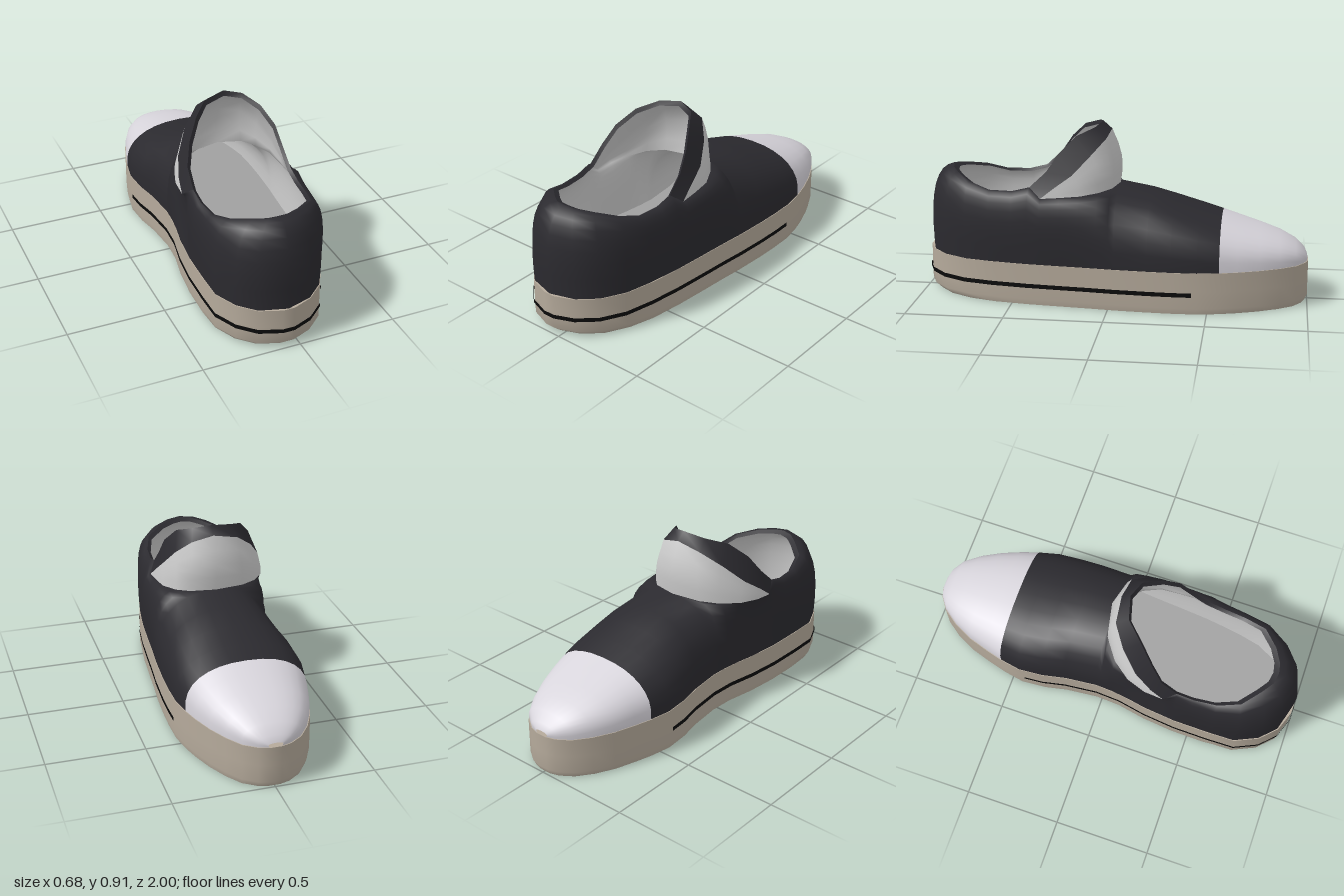
import * as THREE from 'three';
import { mergeGeometries, mergeVertices } from 'three/addons/utils/BufferGeometryUtils.js';

const V = (x, y, z) => new THREE.Vector3(x, y, z);
const SOLE_TOP = 0.215;

// Footprint stations from toe to heel: [z, edge at -x, edge at +x]
const FOOT = [
  [-1, -0.03, 0.03], [-0.985, -0.08, 0.08], [-0.94, -0.145, 0.145], [-0.86, -0.205, 0.2],
  [-0.76, -0.255, 0.25], [-0.65, -0.29, 0.29], [-0.56, -0.315, 0.315], [-0.45, -0.335, 0.335],
  [-0.32, -0.325, 0.338], [-0.2, -0.3, 0.335], [-0.03, -0.283, 0.325], [0.1, -0.29, 0.312],
  [0.25, -0.318, 0.3], [0.42, -0.335, 0.285], [0.6, -0.338, 0.26], [0.75, -0.335, 0.225],
  [0.87, -0.28, 0.16], [0.95, -0.2, 0.07], [0.99, -0.09, -0.03],
];

// Edge of the footprint at z; side is -1 or 1
function edge(z, side) {
  const c = side < 0 ? 1 : 2;
  let i = 1;
  while (i < FOOT.length - 1 && FOOT[i][0] < z) i++;
  const a = FOOT[i - 1], b = FOOT[i];
  return THREE.MathUtils.mapLinear(z, a[0], b[0], a[c], b[c]);
}

// Surface through rows of points, optionally closed around
function grid(rows, closed = false) {
  const n = rows[0].length, m = rows.length, index = [];
  for (let i = 0; i < (closed ? m : m - 1); i++) {
    for (let j = 0; j < n - 1; j++) {
      const a = i * n + j, b = ((i + 1) % m) * n + j;
      index.push(a, b, a + 1, b, b + 1, a + 1);
    }
  }
  const g = new THREE.BufferGeometry().setFromPoints(rows.flat());
  g.setIndex(index);
  return g;
}

// Join grids so that shading runs smoothly across shared edges
function join(...grids) {
  const g = mergeVertices(mergeGeometries(grids), 1e-4);
  g.computeVertexNormals();
  return g;
}

function mesh(name, geometry, color) {
  const m = new THREE.Mesh(geometry, new THREE.MeshStandardMaterial({ color, side: THREE.DoubleSide }));
  m.name = name;
  return m;
}

// Rounded wall from the sole edge b up to the top point t
function wall(b, t, bulge = 0.015, p = 0.88) {
  const out = V(b.x - t.x, 0, b.z - t.z).normalize().multiplyScalar(bulge);
  return Array.from({ length: 9 }, (_, j) => {
    const a = (j / 8) * Math.PI / 2;
    const s = 1 - Math.pow(Math.max(0, Math.cos(a)), p), h = Math.pow(Math.sin(a), p);
    return V(
      b.x + (t.x - b.x) * s, b.y + (t.y - b.y) * h, b.z + (t.z - b.z) * s,
    ).addScaledVector(out, Math.sin(2 * a));
  });
}

const foot = (z, side) => V(edge(z, side) * 0.99, SOLE_TOP, z * 0.995);

// Full arch across the shoe at z
function arch(z, crown, bulge) {
  const t = V(0, crown, z * 0.995);
  const left = wall(foot(z, -1), t, bulge), right = wall(foot(z, 1), t, bulge);
  return [...left, ...right.reverse().slice(1)];
}

// Point moved inwards by the thickness of the fabric
const inset = (p) => V(
  -0.03 + (p.x + 0.03) * 0.94,
  SOLE_TOP + (p.y - SOLE_TOP) * 0.965,
  0.3 + (p.z - 0.3) * 0.95,
);

// The +x points; the -x side mirrors them about an axis that drifts towards the heel
function place([x, y, z], k, side) {
  return V(side > 0 ? x : -0.09 * Math.min(1, k / 4) - x, y, z);
}

// Top edge of the dark side panels, from the instep to the heel
const SEAM = [
  [0, 0.59, -0.03], [0.13, 0.585, 0], [0.19, 0.575, 0.06], [0.235, 0.565, 0.15],
  [0.245, 0.557, 0.25], [0.25, 0.55, 0.35], [0.215, 0.6, 0.41], [0.212, 0.577, 0.5],
  [0.2, 0.577, 0.62], [0.165, 0.61, 0.73], [0.075, 0.635, 0.81],
];
// Lower and upper edge of the band on the tongue
const BAND_LOW = [
  [0, 0.87, 0.015], [0.11, 0.84, 0.03], [0.18, 0.765, 0.1],
  [0.228, 0.67, 0.19], [0.24, 0.605, 0.28], SEAM[5],
];
const BAND_TOP = [
  [0, 0.91, 0.06], [0.09, 0.892, 0.09], [0.15, 0.855, 0.18],
  [0.195, 0.775, 0.26], [0.21, 0.68, 0.325], SEAM[6],
];

export function createModel() {
  const shoe = new THREE.Group();
  shoe.name = 'shoe';
  const dark = 0x2b2a2f, cream = 0xb5aa9b;

  // Sole
  const outline = [
    ...FOOT.map(([z, l]) => V(l, 0, z)),
    ...FOOT.map(([z, , r]) => V(r, 0, z)).reverse(),
  ];
  const ring = (...profile) => grid(outline.map((p) => profile.map(([s, y]) => {
    const k = s === 1 || s === 0 || p.z < 0.7 ? s : s - 0.02;
    return V(p.x * k, y, p.z * k);
  })), true);
  const sole = new THREE.Group();
  sole.name = 'sole';
  sole.add(
    mesh('soleWall', join(ring([0.985, 0], [1, 0.03], [1, 0.12], [1, SOLE_TOP])), cream),
    mesh('soleBottom', join(ring([0, 0], [0.985, 0])), cream),
    mesh('soleTop', join(ring([1, SOLE_TOP], [0, SOLE_TOP])), cream),
    mesh('insole', join(ring([0.97, SOLE_TOP + 0.008], [0, SOLE_TOP + 0.008])), 0xa0a0a0),
  );
  shoe.add(sole);

  // Stripe around the heel
  const zs = [-0.42, ...FOOT.map((f) => f[0]).filter((z) => z > -0.42)];
  const path = [
    ...zs.map((z) => [edge(z, -1), z]),
    ...zs.map((z) => [edge(z, 1), z]).reverse(),
  ];
  const stripe = path.map(([x, z]) => [0.09, 0.112].map((y) => V(x * 1.009, y, z * 1.008)));
  shoe.add(mesh('soleStripe', join(grid(stripe)), 0x0a0a0a));

  // Toe cap
  const capCrown = [0.235, 0.268, 0.31, 0.35, 0.383, 0.417, 0.445];
  const cap = grid(capCrown.map((y, i) => arch(FOOT[i][0], y, 0.012)));
  shoe.add(mesh('toeCap', join(cap), 0xd8d5dc));

  // Vamp and side panels
  const vampCrown = [0.445, 0.478, 0.52, 0.558, 0.59];
  const vamp = grid(vampCrown.map((y, i) => arch(FOOT[i + 6][0], y, i ? 0.015 : 0.012)));
  const panel = (side) => SEAM.map((s, k) => {
    const z = [0.42, 0.5, 0.62, 0.75, 0.87][k - 6] ?? s[2];
    const top = place(s, k, side);
    if (k === 0) top.z *= 0.995;
    return wall(foot(z, side), top);
  });
  const heelTop = V(-0.055, 0.65, 0.86);
  const heel = [
    wall(foot(0.95, -1), V(-0.11, 0.645, 0.85)),
    wall(V(-0.06, SOLE_TOP, 0.985), heelTop),
    wall(foot(0.95, 1), V(0.0, 0.645, 0.85)),
  ];
  const sides = grid([...panel(-1), ...heel, ...panel(1).reverse()]);
  shoe.add(mesh('upper', join(vamp, sides), dark));

  // Tongue and its dark band, running from the +x side to the -x side
  const across = (make) => [
    ...[5, 4, 3, 2, 1, 0].map((k) => make(k, 1)),
    ...[1, 2, 3, 4, 5].map((k) => make(k, -1)),
  ];
  const tongue = grid(across((k, side) => {
    const low = place(SEAM[k], k, side), high = place(BAND_LOW[k], k, side);
    return [0, 0.25, 0.5, 0.75, 1].map((t) => {
      const p = low.clone().lerp(high, t), b = Math.sin(t * Math.PI) * (1 - k / 5);
      return p.add(V(0, 0, -0.028 * b));
    });
  }));
  const band = grid(across((k, side) => [place(BAND_LOW[k], k, side), place(BAND_TOP[k], k, side)]));
  shoe.add(mesh('tongue', join(tongue), 0xcccccc));
  shoe.add(mesh('tongueBand', join(band), dark));

  // Lip around the opening
  const rimSide = (side) => [
    ...BAND_TOP.map((p, k) => place(p, k, side)),
    ...SEAM.slice(7).map((p, k) => place(p, k + 7, side)),
  ];
  const rim = [
    ...rimSide(1), V(0.0, 0.645, 0.85), heelTop, V(-0.11, 0.645, 0.85),
    ...rimSide(-1).reverse().slice(0, -1),
  ];
  shoe.add(mesh('openingLip', join(grid(rim.map((p) => [p, inset(p)]), true)), dark));

  // Lining: the whole upper moved inwards
  const lining = mergeGeometries([vamp, sides, tongue, band, cap]);
  const pos = lining.attributes.position, v = V(0, 0, 0);
  for (let i = 0; i < pos.count; i++) {
    v.copy(inset(v.fromBufferAttribute(pos, i)));
    pos.setXYZ(i, v.x, v.y, v.z);
  }
  shoe.add(mesh('lining', join(lining), 0xcccccc));
  return shoe;
}
